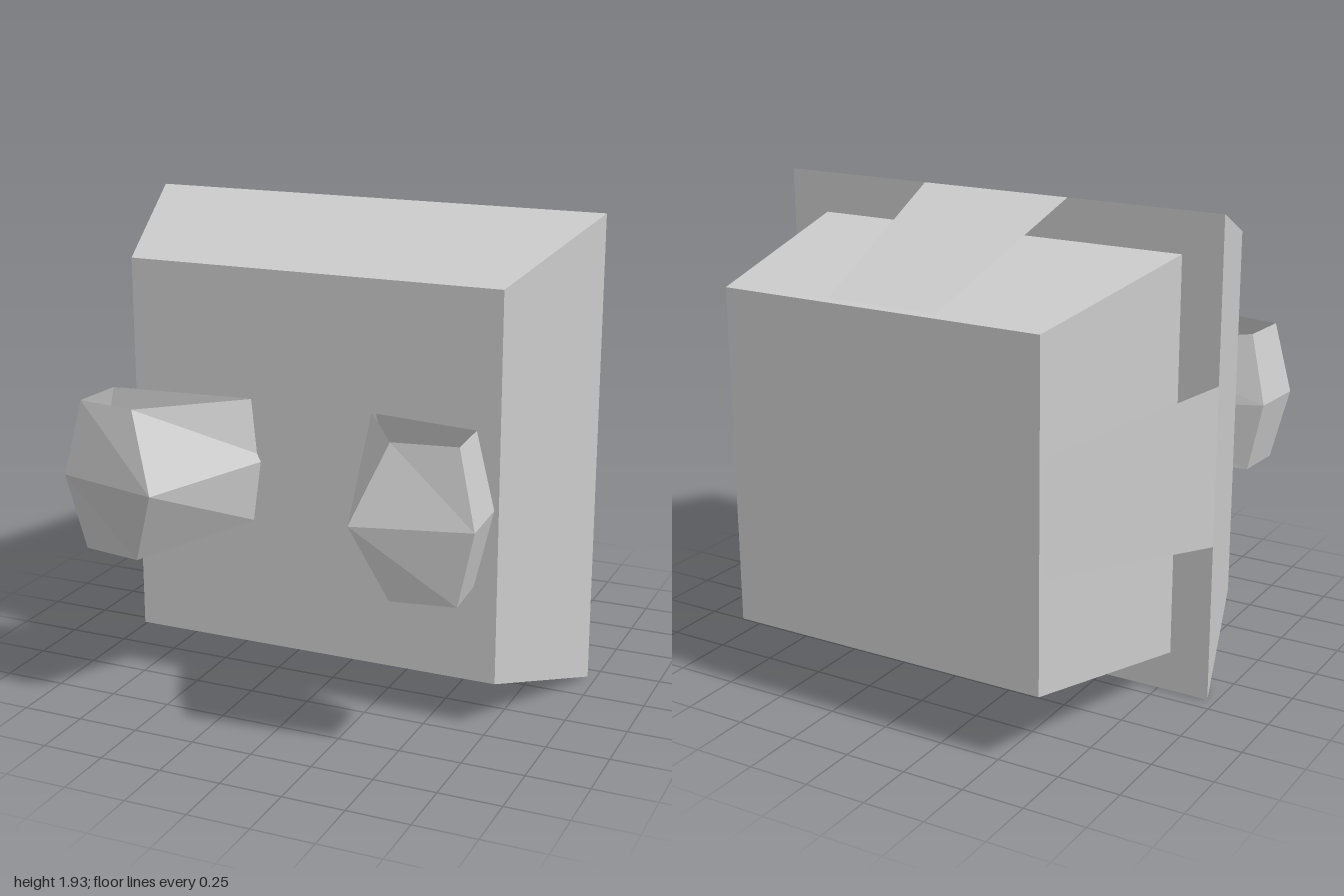
import * as THREE from 'three';

const MID = 0.967; // height of the model's axis

const solid = new THREE.MeshStandardMaterial({ color: 0xcccccc, flatShading: true });
const shell = new THREE.MeshStandardMaterial({ color: 0xcccccc, flatShading: true, side: THREE.DoubleSide });

function addMesh(parent, name, geometry, material) {
  const mesh = new THREE.Mesh(geometry, material);
  mesh.name = name;
  parent.add(mesh);
  return mesh;
}

// Square frustum along z, given its half widths at both ends
function frustum(zBack, halfBack, zFront, halfFront) {
  return new THREE.CylinderGeometry(halfFront * Math.SQRT2, halfBack * Math.SQRT2, zFront - zBack, 4, 1, false, Math.PI / 4)
    .rotateX(Math.PI / 2)
    .translate(0, MID, (zBack + zFront) / 2);
}

// Surface joining successive rows of points
function loft(rows, closed) {
  const n = rows[0].length;
  const index = [];
  for (let r = 0; r < rows.length - 1; r++) {
    for (let i = 0; i < (closed ? n : n - 1); i++) {
      const a = r * n + i, b = r * n + (i + 1) % n;
      index.push(a, b, b + n, a, b + n, a + n);
    }
  }
  const geometry = new THREE.BufferGeometry();
  geometry.setAttribute('position', new THREE.Float32BufferAttribute(rows.flat(2), 3));
  geometry.setIndex(index);
  geometry.computeVertexNormals();
  return geometry;
}

// Faceted band around one eye, open above and below
function eyeShell(side) {
  const rim = [[0.25, 0.251, 0.435], [0.52, 0.298, 0.905], [0.765, 0.298, 0.865], [0.75, 0.298, 0.65]];
  const middle = [[0.2, 0, 0.39], [0.4, 0, 1], [0.835, 0, 0.89], [0.818, 0, 0.636]];
  const ring = (points, sign) => points.map(([x, y, z]) => [side * x, MID + sign * y, z]);
  const rows = [ring(rim, -1), ring(middle, 1), ring(rim, 1)];
  if (side > 0) rows.reverse();
  return loft(rows, true);
}

export function createModel() {
  const group = new THREE.Group();
  group.name = 'blockHead';

  addMesh(group, 'frontBlock', frustum(-0.18, 0.965, 0.445, 0.771), solid);
  addMesh(group, 'rearBlock', frustum(-1, 0.669, -0.18, 0.8), solid);

  // Sloping braces from the rear block out to the rim of the front block
  const brace = loft([
    [[-0.32, 0.965, -0.18], [0.32, 0.965, -0.18]],
    [[-0.228, 0.674, -0.965], [0.228, 0.674, -0.965]],
  ], false);
  for (let i = 0; i < 4; i++) {
    const mesh = addMesh(group, 'brace' + (i + 1), brace, shell);
    mesh.position.y = MID;
    mesh.rotation.z = i * Math.PI / 2;
  }

  addMesh(group, 'leftEye', eyeShell(1), shell);
  addMesh(group, 'rightEye', eyeShell(-1), shell);

  return group;
}
